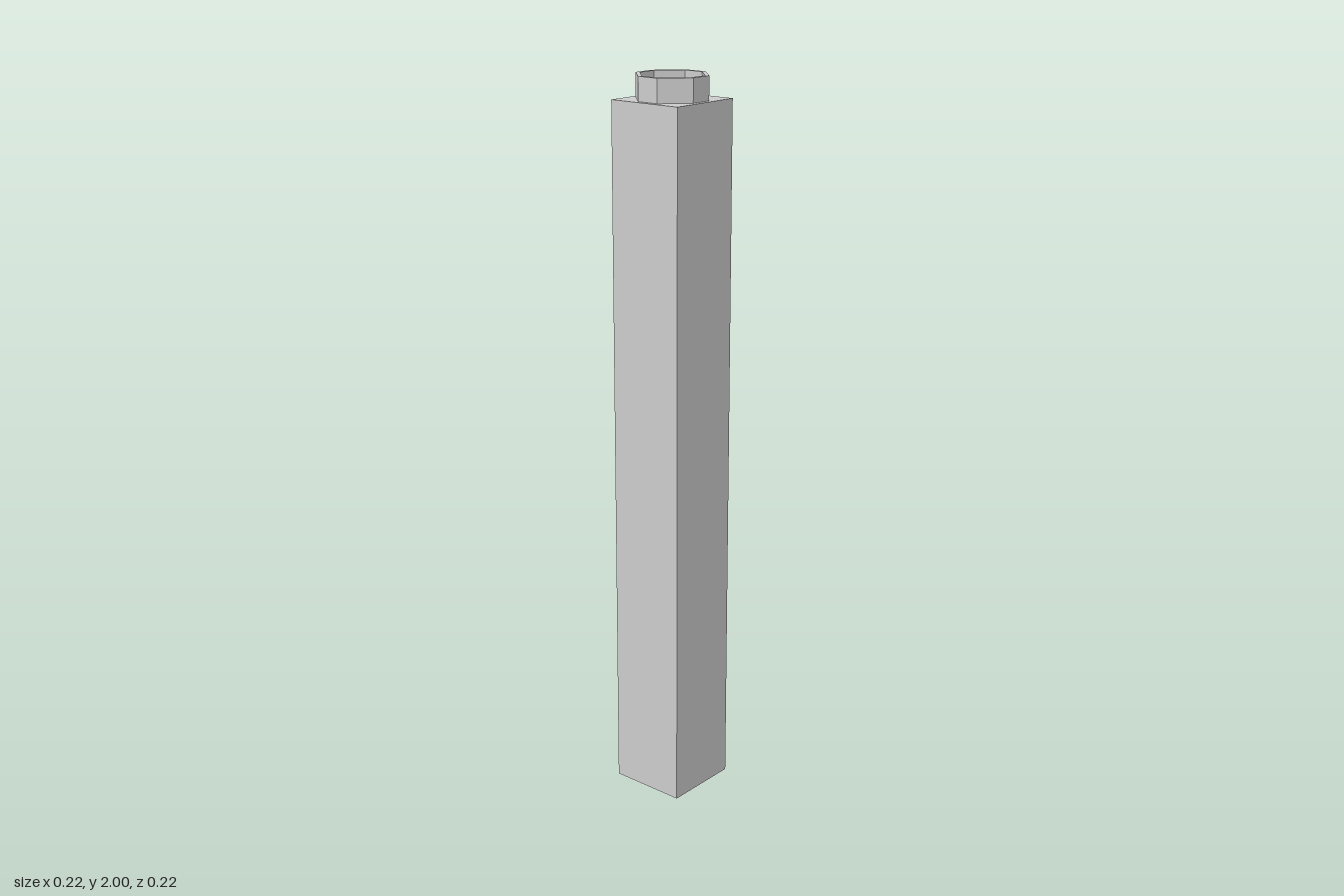
import * as THREE from 'three';

const HALF = 0.11;      // half width of the square shaft
const PLATE_Y = 1.937;  // height of the top plate
const HEIGHT = 2;

// Square-ish octagon outline: long corner cuts, shorter axis-aligned sides
function octagon(r, Type = THREE.Path) {
  const c = r * 0.33;
  return new Type([
    [r, -c], [r, c], [c, r], [-c, r], [-r, c], [-r, -c], [-c, -r], [c, -r],
  ].map(([x, y]) => new THREE.Vector2(x, y)));
}

export function createModel() {
  const group = new THREE.Group();
  const material = new THREE.MeshStandardMaterial({
    color: 0xcccccc, flatShading: true, side: THREE.DoubleSide,
  });
  const add = (name, geometry) => {
    const mesh = new THREE.Mesh(geometry, material);
    mesh.name = name;
    group.add(mesh);
    return mesh;
  };

  // Thin shaft walls on the front and both sides; back and bottom are open
  [['rightWall', -1], ['frontWall', 0], ['leftWall', 1]].forEach(([name, turn]) => {
    const wall = new THREE.PlaneGeometry(2 * HALF, PLATE_Y);
    wall.translate(0, PLATE_Y / 2, HALF).rotateY(turn * Math.PI / 2);
    add(name, wall);
  });

  // Top plate with an octagonal opening
  const plate = new THREE.Shape([[-1, -1], [1, -1], [1, 1], [-1, 1]]
    .map(([x, y]) => new THREE.Vector2(x * HALF, y * HALF)));
  plate.holes.push(octagon(0.085));
  add('topPlate', new THREE.ShapeGeometry(plate).rotateX(-Math.PI / 2).translate(0, PLATE_Y, 0));

  // Hollow octagonal collar around the opening
  const ring = octagon(0.096, THREE.Shape);
  ring.holes.push(octagon(0.085));
  const collar = new THREE.ExtrudeGeometry(ring, { depth: HEIGHT - PLATE_Y, bevelEnabled: false });
  add('collar', collar.rotateX(-Math.PI / 2).translate(0, PLATE_Y, 0));

  return group;
}
